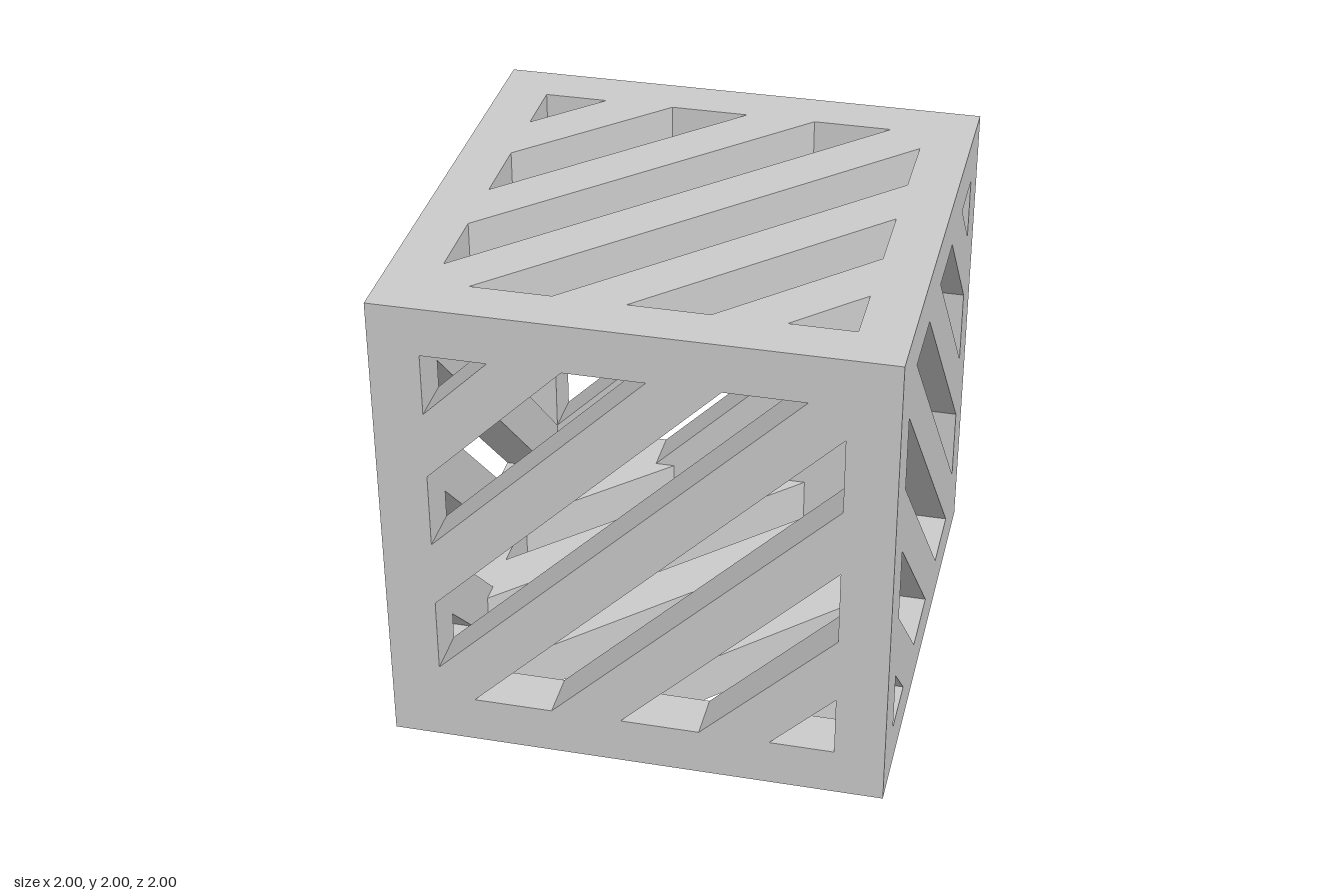
import * as THREE from 'three';

const material = new THREE.MeshStandardMaterial({ color: 0xcccccc, flatShading: true });
const T = 0.2;               // thickness of frame and slats
const R = 0.8;               // half size of each opening
const W = T / Math.SQRT2;    // half width of a slat measured along an axis
const MID = 1 - T / 2;       // wall centre, measured from the cube centre

const toShape = (pts) => new THREE.Shape(pts.map(([x, y]) => new THREE.Vector2(x, y)));

// Extrusion centred on z = 0
function slab(shape) {
  return new THREE.ExtrudeGeometry(shape, { depth: T, bevelEnabled: false }).translate(0, 0, -T / 2);
}

// Diagonal slat, cut off by the square opening; c is its offset along the opening
function slatShape(c) {
  if (c === 0) {
    return toShape([[-R, -R], [W - R, -R], [R, R - W], [R, R], [R - W, R], [-R, W - R]]);
  }
  const lo = Math.abs(c) - W, hi = Math.abs(c) + W, s = Math.sign(c);
  const pts = [[lo - R, -R], [hi - R, -R], [R, R - hi], [R, R - lo]];
  return toShape(pts.map(([x, y]) => [x * s, y * s]));
}

function addMesh(parent, name, geometry, x = 0, y = 0, z = 0) {
  const mesh = new THREE.Mesh(geometry, material);
  mesh.name = name;
  mesh.position.set(x, y, z);
  parent.add(mesh);
}

export function createModel() {
  const model = new THREE.Group();
  model.name = 'slattedCube';
  const cube = new THREE.Group();
  cube.name = 'cube';
  cube.position.y = 1;
  model.add(cube);

  // Square front and back frames
  const square = toShape([[-1, -1], [1, -1], [1, 1], [-1, 1]]);
  square.holes.push(toShape([[-R, -R], [-R, R], [R, R], [R, -R]]));
  const frame = slab(square);
  addMesh(cube, 'frontFrame', frame, 0, 0, MID);
  addMesh(cube, 'backFrame', frame, 0, 0, -MID);

  // Four rails joining the frames
  const rail = new THREE.BoxGeometry(T, T, 2 * R);
  for (const [sx, side] of [[1, 'left'], [-1, 'right']]) {
    for (const [sy, level] of [[1, 'Top'], [-1, 'Bottom']]) {
      addMesh(cube, `${side}${level}Rail`, rail, sx * MID, sy * MID, 0);
    }
  }

  // Five diagonal slats in each wall; opposite walls match
  const slats = [-1.2, -0.6, 0, 0.6, 1.2].map((c) => slab(slatShape(c)));
  const walls = [
    ['front', 0, 0, 0, 0, 1], ['back', 0, 0, 0, 0, -1],
    ['left', 0, -Math.PI / 2, 1, 0, 0], ['right', 0, -Math.PI / 2, -1, 0, 0],
    ['top', -Math.PI / 2, 0, 0, 1, 0], ['bottom', -Math.PI / 2, 0, 0, -1, 0],
  ];
  for (const [name, rx, ry, x, y, z] of walls) {
    const wall = new THREE.Group();
    wall.name = `${name}Slats`;
    wall.rotation.set(rx, ry, 0);
    wall.position.set(x * MID, y * MID, z * MID);
    slats.forEach((geometry, i) => addMesh(wall, `${name}Slat${i + 1}`, geometry));
    cube.add(wall);
  }
  return model;
}
